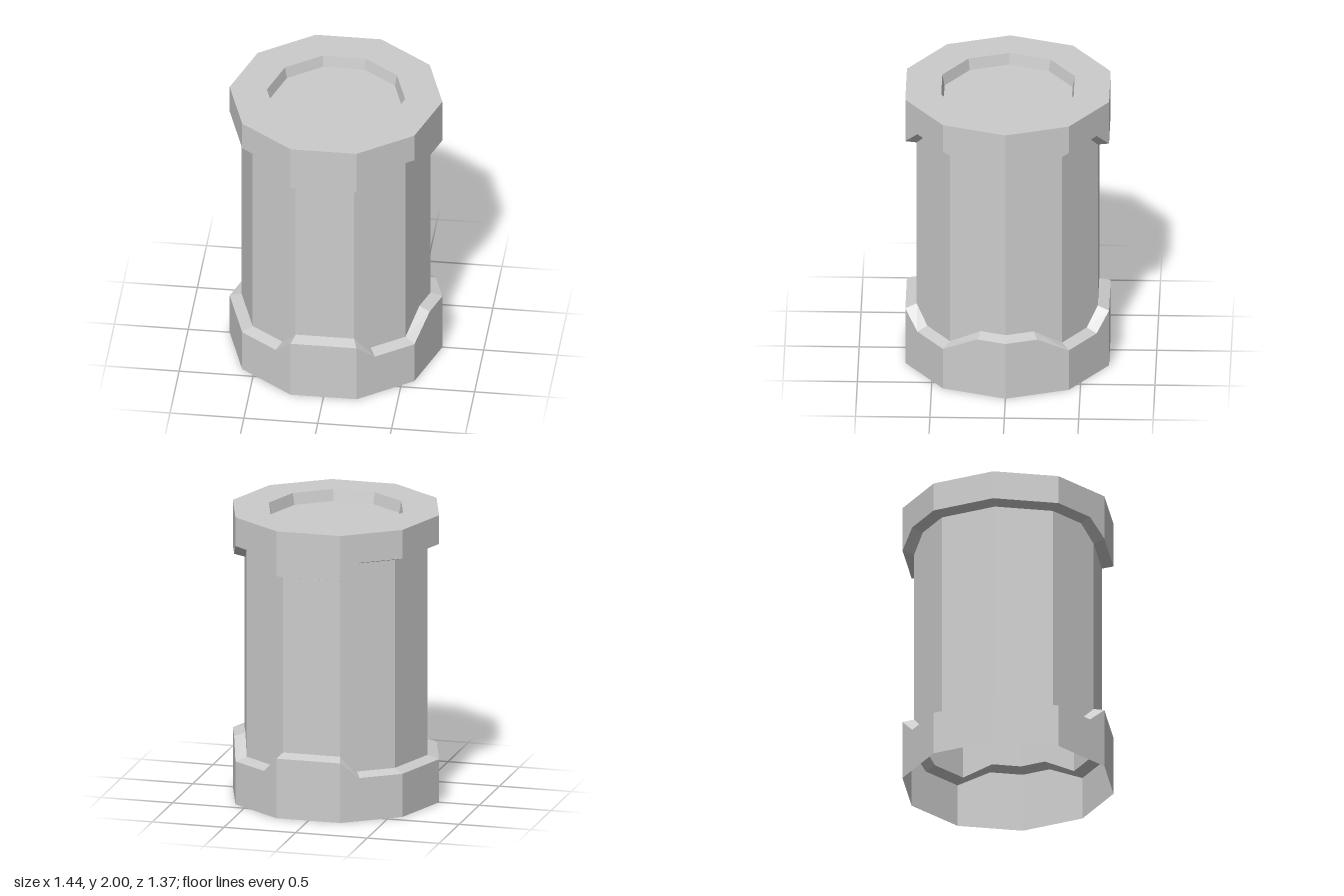
import * as THREE from 'three';

const R_COLLAR = 0.72, R_BODY = 0.64, R_RIM = 0.468, R_FLOOR = 0.452;

// Stations round the decagon: [corner number (fractions lie along a side), raised tab 0/1]
const STATIONS = [
  [0, 1], [0.45, 1], [1, 0], [1.68, 0], [2, 1], [3, 1], [3.31, 0], [4, 0], [5, 0],
  [6, 0], [6.69, 0], [7, 1], [8, 1], [8.31, 0], [9, 0], [9.5, 1],
];

// Point on the decagon's outline
function outline(u, r) {
  const k = Math.floor(u), t = u - k, a = k * Math.PI / 5, b = a + Math.PI / 5;
  return [
    r * (Math.cos(a) * (1 - t) + Math.cos(b) * t),
    r * (Math.sin(a) * (1 - t) + Math.sin(b) * t),
  ];
}

// Ring of points; height depends on whether the station is raised
const ring = (r, low, raised = low) => STATIONS.map(([u, up]) => {
  const [x, z] = outline(u, r);
  return [x, up ? raised : low, z];
});

// Skin successive rings, listed from bottom to top of the outer surface
function skin(name, rings, material) {
  const pos = [];
  const n = STATIONS.length;
  for (let j = 0; j < rings.length - 1; j++) {
    for (let i = 0; i < n; i++) {
      const k = (i + 1) % n;
      const a = rings[j][i], b = rings[j][k], c = rings[j + 1][k], d = rings[j + 1][i];
      pos.push(...a, ...d, ...c, ...a, ...c, ...b);
    }
  }
  const geo = new THREE.BufferGeometry();
  geo.setAttribute('position', new THREE.Float32BufferAttribute(pos, 3));
  geo.computeVertexNormals();
  const mesh = new THREE.Mesh(geo, material);
  mesh.name = name;
  return mesh;
}

export function createModel() {
  const group = new THREE.Group();
  group.name = 'canister';
  const material = new THREE.MeshStandardMaterial({
    color: 0xcccccc, flatShading: true, side: THREE.DoubleSide,
  });

  // Edges shared by the collars and the body
  const lowerInner = ring(R_BODY, 0.325, 0.44);
  const upperInner = ring(R_BODY, 1.775, 1.663);

  // Lower collar, open underneath, with a bevelled stepped edge
  group.add(skin('lowerCollar', [
    ring(R_COLLAR, 0), ring(R_COLLAR, 0.3, 0.415), lowerInner,
  ], material));

  // Hollow ten-sided body
  group.add(skin('body', [lowerInner, upperInner], material));

  // Upper collar with its flat rim
  group.add(skin('upperCollar', [
    upperInner, ring(R_COLLAR, 1.8, 1.685), ring(R_COLLAR, 2), ring(R_RIM, 2),
  ], material));

  // Shallow recess in the top
  group.add(skin('lidRecess', [
    ring(R_RIM, 2), ring(R_FLOOR, 1.92), ring(0, 1.92),
  ], material));

  return group;
}
